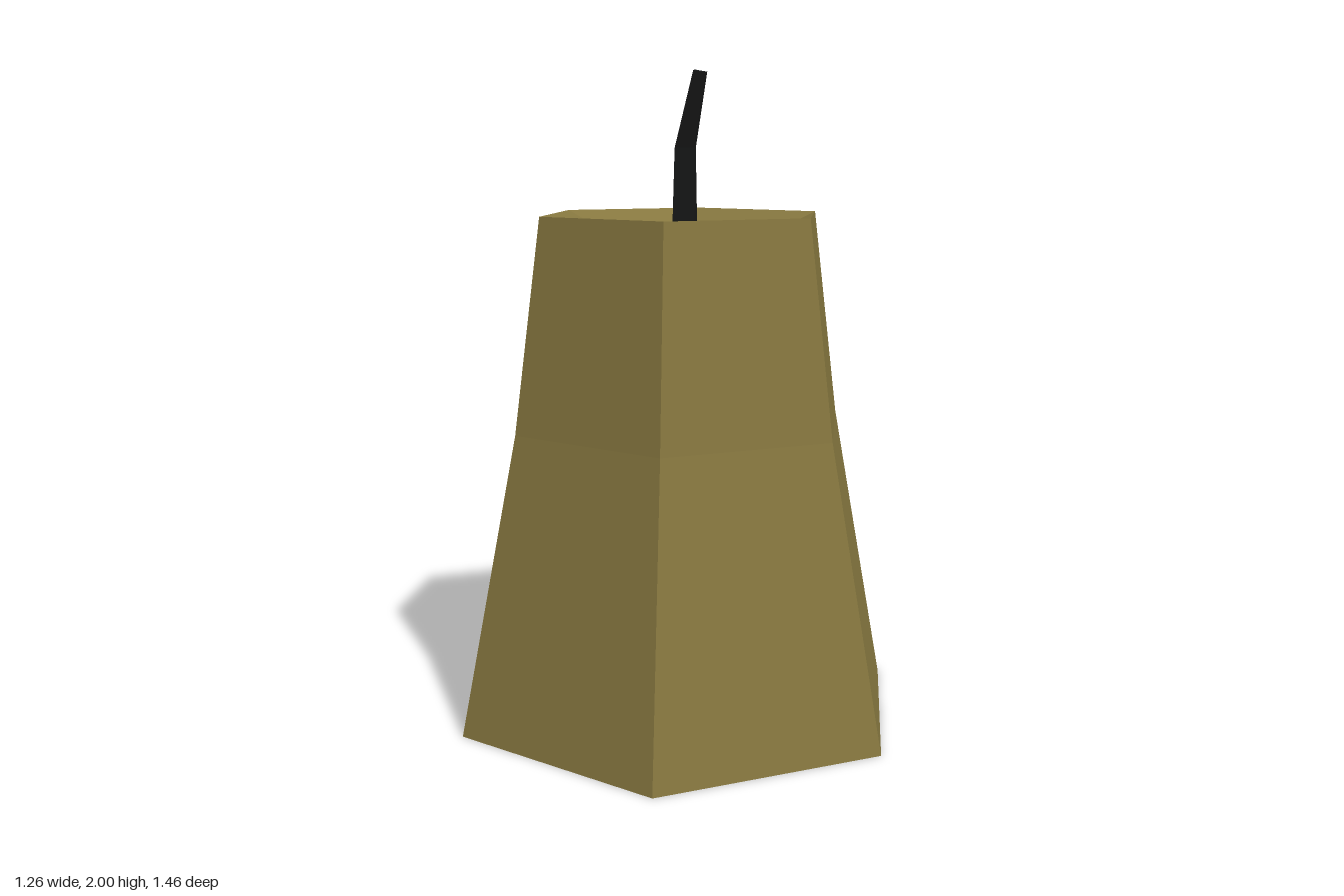
import * as THREE from 'three';

export function createModel() {
  const group = new THREE.Group();
  const wax = new THREE.MeshStandardMaterial({ color: 0x86773f, flatShading: true });
  const char = new THREE.MeshStandardMaterial({ color: 0x161717, flatShading: true });

  // Six-sided tapered body with a shallow melted hollow on top
  const profile = [[0, 0], [0.73, 0], [0.546, 0.92], [0.46, 1.57], [0.272, 1.49], [0, 1.49]]
    .map(([r, y]) => new THREE.Vector2(r, y));
  const body = new THREE.Mesh(new THREE.LatheGeometry(profile, 6), wax);
  body.name = 'candleBody';
  group.add(body);

  // Four-sided wick, bent forward: sections from base to tip
  const sections = [
    { x: -0.005, y: 1.48, z: 0.012, r: 0.05, tilt: 0 },
    { x: -0.013, y: 1.77, z: 0.02, r: 0.041, tilt: 0 },
    { x: -0.025, y: 1.995, z: 0.084, r: 0.027, tilt: -0.2 },
  ];
  const geometry = new THREE.CylinderGeometry(1, 1, 2, 4, 2, false, THREE.MathUtils.degToRad(75));
  const pos = geometry.attributes.position;
  for (let i = 0; i < pos.count; i++) {
    const s = sections[Math.round(pos.getY(i)) + 1];
    const dx = pos.getX(i) * s.r, dz = pos.getZ(i) * s.r;
    pos.setXYZ(i, s.x + dx, s.y + s.tilt * dz, s.z + dz);
  }
  geometry.computeVertexNormals();
  const wick = new THREE.Mesh(geometry, char);
  wick.name = 'wick';
  group.add(wick);

  return group;
}
